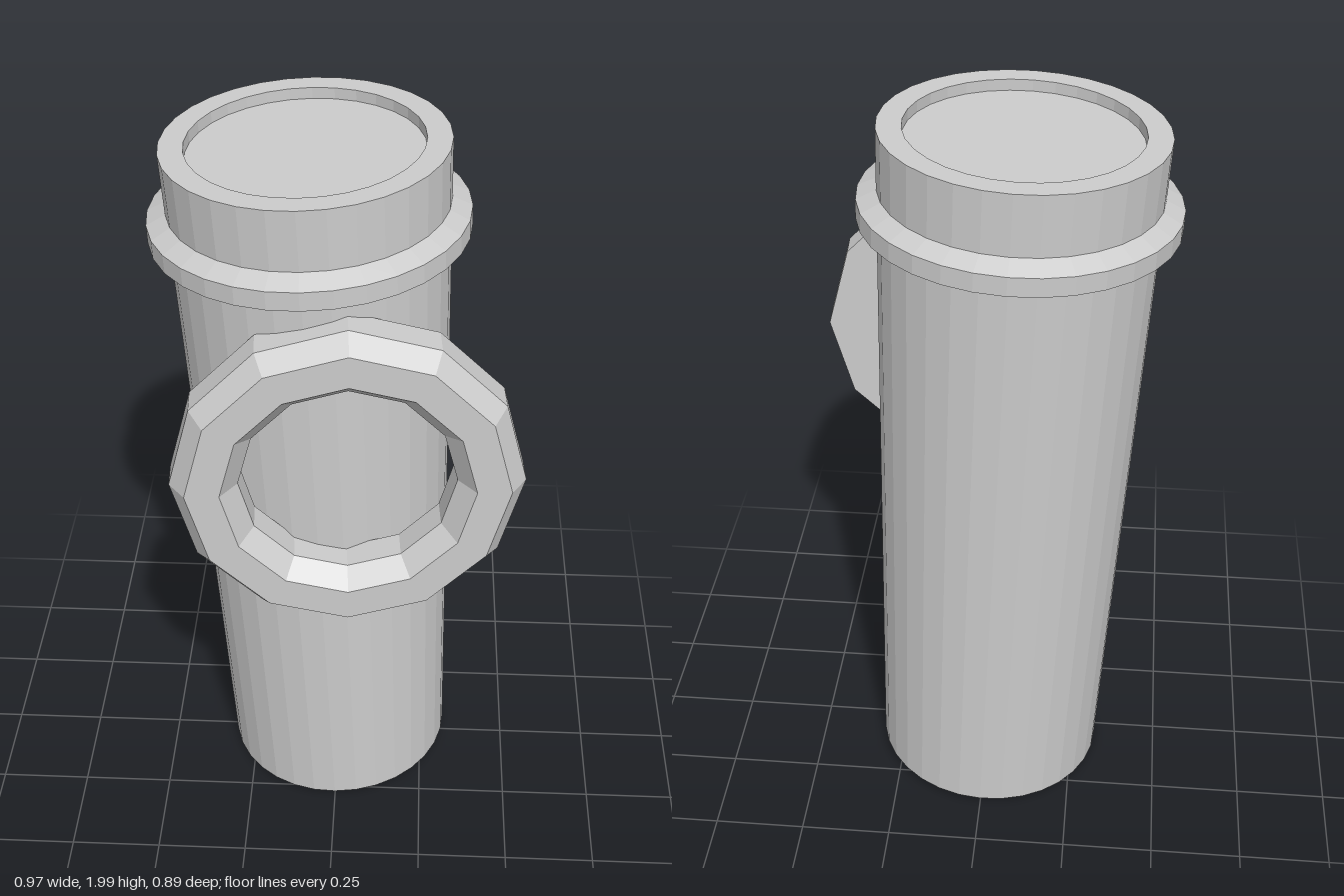
import * as THREE from 'three';

const material = new THREE.MeshStandardMaterial({ color: 0xcccccc, flatShading: true });

// Revolve a [radius, height] profile into a faceted mesh
function turned(name, profile, sides) {
  const points = profile.map(([r, y]) => new THREE.Vector2(r, y));
  const mesh = new THREE.Mesh(new THREE.LatheGeometry(points, sides), material);
  mesh.name = name;
  return mesh;
}

export function createModel() {
  const model = new THREE.Group();
  model.name = 'canister';

  // Leaning container: tapered body with a recessed top, plus a collar
  const container = new THREE.Group();
  container.name = 'container';
  container.add(turned('body', [
    [0, 0], [0.32, 0], [0.36, 1.967],
    [0.297, 1.967], [0.297, 1.937], [0, 1.937],
  ], 32));
  container.add(turned('collar', [
    [0.35, 1.712], [0.407, 1.732], [0.407, 1.782], [0.35, 1.81],
  ], 32));
  container.position.set(0, 0.018, -0.037);
  container.rotation.z = 0.0433;
  model.add(container);

  // Twelve-sided ring on the front, chamfered on its front edges
  const ring = turned('frontRing', [
    [0.275, 0], [0.447, 0], [0.447, 0.08], [0.407, 0.135],
    [0.32, 0.135], [0.275, 0.08], [0.275, 0],
  ], 12);
  ring.rotation.x = Math.PI / 2;
  const ringMount = new THREE.Group();
  ringMount.name = 'ringMount';
  ringMount.add(ring);
  ringMount.position.set(0.032, 1.247, 0.28);
  ringMount.rotation.y = 0.07;
  model.add(ringMount);

  return model;
}
